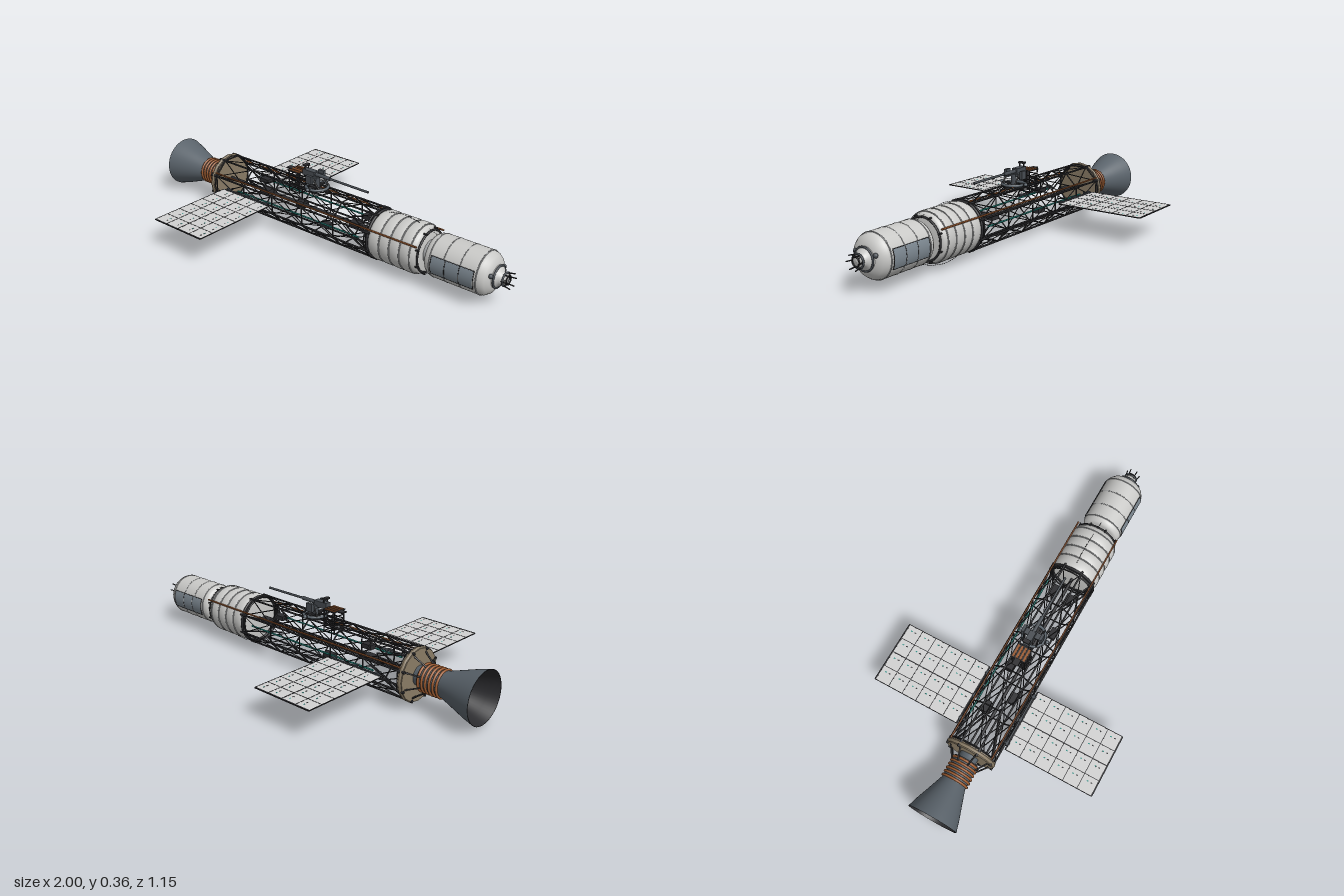
import * as THREE from 'three';
import { mergeGeometries } from 'three/addons/utils/BufferGeometryUtils.js';

const mat = (name, color, side = THREE.FrontSide) => {
  const m = new THREE.MeshStandardMaterial({ color, side });
  m.name = name;
  return m;
};
const V = (x, y, z) => new THREE.Vector3(x, y, z);

// Straight rod between two points
function rod(a, b, r = 0.003, sides = 6) {
  const d = b.clone().sub(a);
  const g = new THREE.CylinderGeometry(r, r, d.length(), sides);
  g.applyQuaternion(new THREE.Quaternion().setFromUnitVectors(V(0, 1, 0), d.normalize()));
  const c = a.clone().add(b).multiplyScalar(0.5);
  return g.translate(c.x, c.y, c.z);
}
const box = (x, y, z, w, h, d) => new THREE.BoxGeometry(w, h, d).translate(x, y, z);
// Ring around the long axis
const ring = (x, r, t, segs = 40) => new THREE.TorusGeometry(r, t, 8, segs).rotateY(Math.PI / 2).translate(x, 0, 0);
// Body of revolution about the long axis, profile as [x, radius] with x rising
const turned = (pts, segs = 40, start = 0, arc = Math.PI * 2) =>
  new THREE.LatheGeometry(pts.map(([x, r]) => new THREE.Vector2(r, x)), segs, start, arc).rotateZ(-Math.PI / 2);
// Point on the hull cross-section
const polar = (x, r, a) => V(x, r * Math.sin(a), r * Math.cos(a));

export function createModel() {
  const dark = mat('dark metal', 0x2b2b2e, THREE.DoubleSide);
  const slate = mat('slate metal', 0x5b646c);
  const gunmetal = mat('gunmetal', 0x484d53);
  const white = mat('hull grey', 0xcacac8);
  const bandGrey = mat('band grey', 0xa2a4a6);
  const copper = mat('copper', 0x9a5a30);
  const tan = mat('tan plate', 0x8a7c66);
  const teal = mat('teal', 0x258c82);
  const cell = mat('solar cell grey', 0xd2d2d2);
  const panelGrey = mat('panel blue grey', 0x7d8891);

  const root = new THREE.Group();
  const ship = new THREE.Group();
  ship.name = 'ship';
  ship.position.y = 0.145;
  root.add(ship);
  const add = (name, material, ...geos) => {
    const m = new THREE.Mesh(geos.length > 1 ? mergeGeometries(geos) : geos[0], material);
    m.name = name;
    ship.add(m);
  };
  const R = 0.119, X0 = -0.64, X1 = 0.32, BAYS = 5, step = (X1 - X0) / BAYS;
  const corner = (x, i, r = R) => polar(x, r, Math.PI / 8 + (i * Math.PI) / 4);

  // Engine bell with dark lining, neck and coils
  const bell = [[-1, 0.123], [-0.95, 0.108], [-0.88, 0.083], [-0.82, 0.062], [-0.8, 0.056]];
  add('engineBell', slate, turned(bell, 48));
  add('engineLining', dark, turned([[-0.83, 0], ...bell.slice(0, 4).reverse().map(([x, r]) => [x, r - 0.003]), [-1, 0.123]], 48));
  add('engineNeck', slate, turned([[-0.82, 0.06], [-0.7, 0.06], [-0.7, 0.045], [-0.66, 0.045]]));
  const coils = [];
  for (let i = 0; i < 6; i++) coils.push(ring(-0.805 + i * 0.019, 0.062, 0.006));
  add('engineCoils', copper, ...coils);

  // Thrust flange with its struts
  const flange = new THREE.CylinderGeometry(0.122, 0.122, 0.024, 16).rotateZ(Math.PI / 2).translate(-0.66, 0, 0).toNonIndexed();
  flange.computeVertexNormals();
  add('thrustFlange', tan, flange);
  add('flangeRim', tan, ring(-0.66, 0.118, 0.009, 16));
  const thrust = [ring(-0.646, 0.119, 0.003, 16)];
  for (let i = 0; i < 8; i++) {
    thrust.push(rod(corner(-0.73, i, 0.06), corner(-0.67, i, 0.105), 0.004));
    thrust.push(rod(corner(-0.677, i, 0.119), corner(-0.64, i, 0.119), 0.007));
  }
  add('thrustStruts', dark, ...thrust);

  // Octagonal truss: longerons, frames and crossed braces
  const truss = [];
  for (let i = 0; i < 8; i++) {
    truss.push(rod(corner(X0, i), corner(X1, i), 0.0045));
    for (let b = 0; b <= BAYS; b++) {
      const x = X0 + b * step;
      truss.push(rod(corner(x, i), corner(x, i + 1), 0.0035));
      if (b === BAYS) continue;
      truss.push(rod(corner(x, i), corner(x + step, i + 1), 0.0025));
      truss.push(rod(corner(x, i + 1), corner(x + step, i), 0.0025));
    }
  }
  add('truss', dark, ...truss);

  // Service lines along the hull and equipment boxes inside the truss
  const coolant = [], feed = [];
  for (const s of [-1, 1]) {
    coolant.push(rod(V(-0.5, 0, s * 0.1), V(0.27, 0, s * 0.1), 0.0042));
    feed.push(rod(V(-0.65, 0.06, s * 0.106), V(0.59, 0.06, s * 0.106), 0.004));
  }
  add('coolantPipes', teal, ...coolant);
  add('copperFeedLines', copper, ...feed);
  const inner = [rod(V(-0.65, 0, 0), V(0.33, 0, 0), 0.008, 10)];
  for (const s of [-1, 1]) for (const t of [-1, 1]) {
    inner.push(rod(V(-0.64, s * 0.04, t * 0.1), V(-0.42, s * 0.02, t * 0.02), 0.004));
    inner.push(rod(V(0.32, s * 0.04, t * 0.1), V(0.14, s * 0.02, t * 0.02), 0.004));
  }
  for (const [x, y, z] of [[-0.35, 0.03, 0.045], [0.21, 0.025, 0.04], [0.04, -0.03, 0.05], [-0.44, 0.03, -0.045], [0.22, 0.03, -0.045], [-0.2, -0.03, -0.05]])
    inner.push(box(x, y, z, 0.055, 0.022, 0.035));
  add('innerEquipment', dark, ...inner);

  // Solar wings, their grid, cell markings and hinges
  const wx = -0.415, w = 0.31, z0 = 0.13, z1 = 0.573, rows = 6;
  const plates = [], grid = [], tealMarks = [], darkMarks = [], hinges = [];
  for (const s of [-1, 1]) {
    plates.push(box(wx, 0, (s * (z0 + z1)) / 2, w, 0.003, z1 - z0));
    for (let i = 0; i <= 4; i++) {
      const x = wx - w / 2 + (i * w) / 4;
      grid.push(box(x, 0, (s * (z0 + z1)) / 2, i === 2 ? 0.005 : 0.003, 0.0045, z1 - z0));
      if (i === 4) continue;
      for (let j = 0; j < rows; j++) {
        const z = s * (z0 + ((j + 0.5) * (z1 - z0)) / rows);
        tealMarks.push(box(x + w * 0.17, 0, z - 0.01, 0.005, 0.0042, 0.008));
        darkMarks.push(box(x + w * 0.17, 0, z + 0.01, 0.005, 0.0042, 0.008));
      }
    }
    for (let j = 0; j <= rows; j++) {
      const edge = j === 0 || j === rows;
      grid.push(box(wx, 0, s * (z0 + (j * (z1 - z0)) / rows), w, 0.0045, edge ? 0.007 : 0.003));
    }
    hinges.push(rod(V(-0.55, 0, s * 0.122), V(-0.28, 0, s * 0.122), 0.005));
    for (const x of [-0.54, -0.415, -0.29]) {
      hinges.push(rod(V(x, 0, s * 0.095), V(x, 0, s * 0.135), 0.005));
      hinges.push(box(x, 0, s * 0.124, 0.025, 0.018, 0.012));
    }
  }
  add('solarWings', cell, ...plates);
  add('solarGrid', dark, ...grid, ...darkMarks);
  add('solarMarkings', teal, ...tealMarks);
  add('solarHinges', gunmetal, ...hinges);

  // Rear pressure module with swelling segments
  const rear = [[0.325, 0], [0.325, 0.1], [0.335, 0.112]];
  for (let i = 0; i < 4; i++) {
    const x = 0.34 + i * 0.055;
    rear.push([x, 0.114], [x + 0.012, 0.119], [x + 0.04, 0.119], [x + 0.052, 0.114]);
  }
  rear.push([0.575, 0.11], [0.59, 0.095], [0.592, 0]);
  add('rearModule', white, turned(rear, 48));
  add('rearModuleBands', bandGrey, ...[0.394, 0.449, 0.504, 0.558].map((x) => ring(x, 0.115, 0.003, 48)));
  add('connectingTunnel', bandGrey, rod(V(0.585, 0, 0), V(0.625, 0, 0), 0.055, 24));
  const collars = [ring(0.328, 0.114, 0.006), ring(0.31, 0.112, 0.004), ring(0.59, 0.098, 0.005)];
  for (let i = 0; i < 8; i++) {
    collars.push(rod(corner(0.3, i, 0.12), corner(0.34, i, 0.12), 0.005));
    collars.push(rod(corner(0.58, i, 0.105), corner(0.598, i, 0.105), 0.004));
  }
  add('moduleCollars', dark, ...collars);

  // Dashed guard wires above and below the rear module
  const dashes = [];
  for (const s of [-1, 1]) {
    const curve = new THREE.CatmullRomCurve3([V(0.32, 0.112, 0), V(0.37, 0.126, 0), V(0.44, 0.138, 0), V(0.52, 0.128, 0), V(0.59, 0.108, 0), V(0.63, 0.095, 0)].map((p) => p.setY(p.y * s - 0.006)));
    for (let i = 0; i < 28; i++) dashes.push(rod(curve.getPoint(i / 28), curve.getPoint((i + 0.6) / 28), 0.0013, 5));
  }
  add('guardWires', dark, ...dashes);

  // Forward crew module, bands and curved side panels
  add('crewModule', white, turned([[0.615, 0], [0.615, 0.075], [0.622, 0.09], [0.635, 0.098], [0.66, 0.101], [0.87, 0.101], [0.895, 0.096], [0.912, 0.084], [0.922, 0.065], [0.93, 0.045], [0.93, 0]], 48));
  add('crewModuleBands', bandGrey, ...[0.65, 0.72, 0.8, 0.88].map((x) => ring(x, 0.0992, 0.003, 48)));
  const half = 0.42, panels = [], seams = [];
  for (const side of [0, Math.PI]) {
    for (let i = 0; i < 3; i++) {
      const x = 0.662 + i * 0.07;
      panels.push(turned([[x, 0.1045], [x + 0.066, 0.1045]], 8, -half, half * 2).rotateX(side));
    }
    for (const a of [-half, half]) seams.push(rod(polar(0.66, 0.1035, side + a), polar(0.87, 0.1035, side + a), 0.0017));
    for (let i = 0; i < 4; i++) for (let k = 0; k < 4; k++) {
      const x = 0.66 + i * 0.07;
      seams.push(rod(polar(x, 0.1035, side + half * (k / 2 - 1)), polar(x, 0.1035, side + half * (k / 2 - 0.5)), 0.0017));
    }
  }
  add('sidePanels', panelGrey, ...panels);
  add('panelSeams', dark, ...seams);

  // Docking port with guide petals
  add('dockingPort', white, turned([[0.92, 0.056], [0.94, 0.045], [0.95, 0.03], [0.968, 0.03], [0.97, 0.018], [0.975, 0]], 32));
  add('dockingRings', gunmetal, ring(0.935, 0.05, 0.0045), ring(0.967, 0.03, 0.0045));
  const dock = [ring(0.98, 0.02, 0.003)];
  for (let i = 0; i < 6; i++) {
    const a = (i * Math.PI) / 3;
    dock.push(rod(polar(0.955, 0.027, a), polar(0.999, 0.034, a), 0.0028));
    dock.push(rod(polar(0.965, 0.03, a), polar(0.982, 0.019, a + 0.5), 0.002));
  }
  add('dockingGuides', dark, ...dock);
  add('dockingLamps', gunmetal, ...[-1, 1].map((s) => new THREE.SphereGeometry(0.011, 12, 8).translate(0.925, 0.022, s * 0.055)));

  // Open cage with a slatted copper lid on top of the truss
  const slats = [];
  for (let i = 0; i < 4; i++) slats.push(box(-0.178, 0.176, -0.027 + i * 0.018, 0.062, 0.004, 0.01));
  add('cageSlats', copper, ...slats);
  const cage = [box(-0.178, 0.173, 0, 0.07, 0.004, 0.076), box(-0.19, 0.173, 0, 0.105, 0.005, 0.03), rod(V(-0.178, 0.07, 0), V(-0.178, 0.172, 0), 0.008, 10)];
  for (const s of [-1, 1]) for (const t of [-1, 1]) cage.push(rod(V(-0.178 + s * 0.032, 0.065, t * 0.032), V(-0.178 + s * 0.032, 0.176, t * 0.032), 0.003));
  for (const y of [0.07, 0.09, 0.11, 0.13, 0.15]) for (const s of [-1, 1])
    cage.push(box(-0.178, y, s * 0.032, 0.068, 0.004, 0.004), box(-0.178 + s * 0.032, y, 0, 0.004, 0.004, 0.068));
  add('cage', dark, ...cage);

  // Boom turret: turntable, legs, housing and long boom
  const legs = [box(-0.06, 0.113, 0, 0.14, 0.006, 0.02), box(-0.06, 0.124, 0, 0.014, 0.008, 0.14)];
  for (const s of [-1, 1]) {
    legs.push(rod(V(-0.105, 0.122, s * 0.035), V(-0.085, 0.17, s * 0.035), 0.004), rod(V(-0.015, 0.122, s * 0.035), V(-0.055, 0.17, s * 0.035), 0.004));
    legs.push(rod(V(-0.125, 0.195, s * 0.012), V(-0.125, 0.215, s * 0.012), 0.003));
  }
  legs.push(box(-0.128, 0.214, 0, 0.02, 0.008, 0.034));
  add('turretFrame', dark, ...legs);
  add('turntable', slate, new THREE.TorusGeometry(0.054, 0.007, 8, 32).rotateX(Math.PI / 2).translate(-0.06, 0.122, 0),
    ...[-1, 1].map((s) => new THREE.SphereGeometry(0.009, 12, 8).translate(-0.06, 0.126, s * 0.07)));
  const housing = [box(-0.103, 0.18, 0, 0.075, 0.03, 0.03), box(-0.07, 0.165, 0, 0.03, 0.014, 0.1), rod(V(-0.06, 0.12, 0), V(-0.06, 0.17, 0), 0.014, 16)];
  for (const s of [-1, 1]) housing.push(box(-0.07, 0.168, s * 0.046, 0.035, 0.04, 0.014));
  add('turretHousing', gunmetal, ...housing);
  add('turretBoom', gunmetal, rod(V(-0.08, 0.181, 0), V(0.02, 0.181, 0), 0.009, 12), rod(V(0.02, 0.181, 0), V(0.245, 0.179, 0), 0.0055, 10));

  return root;
}
